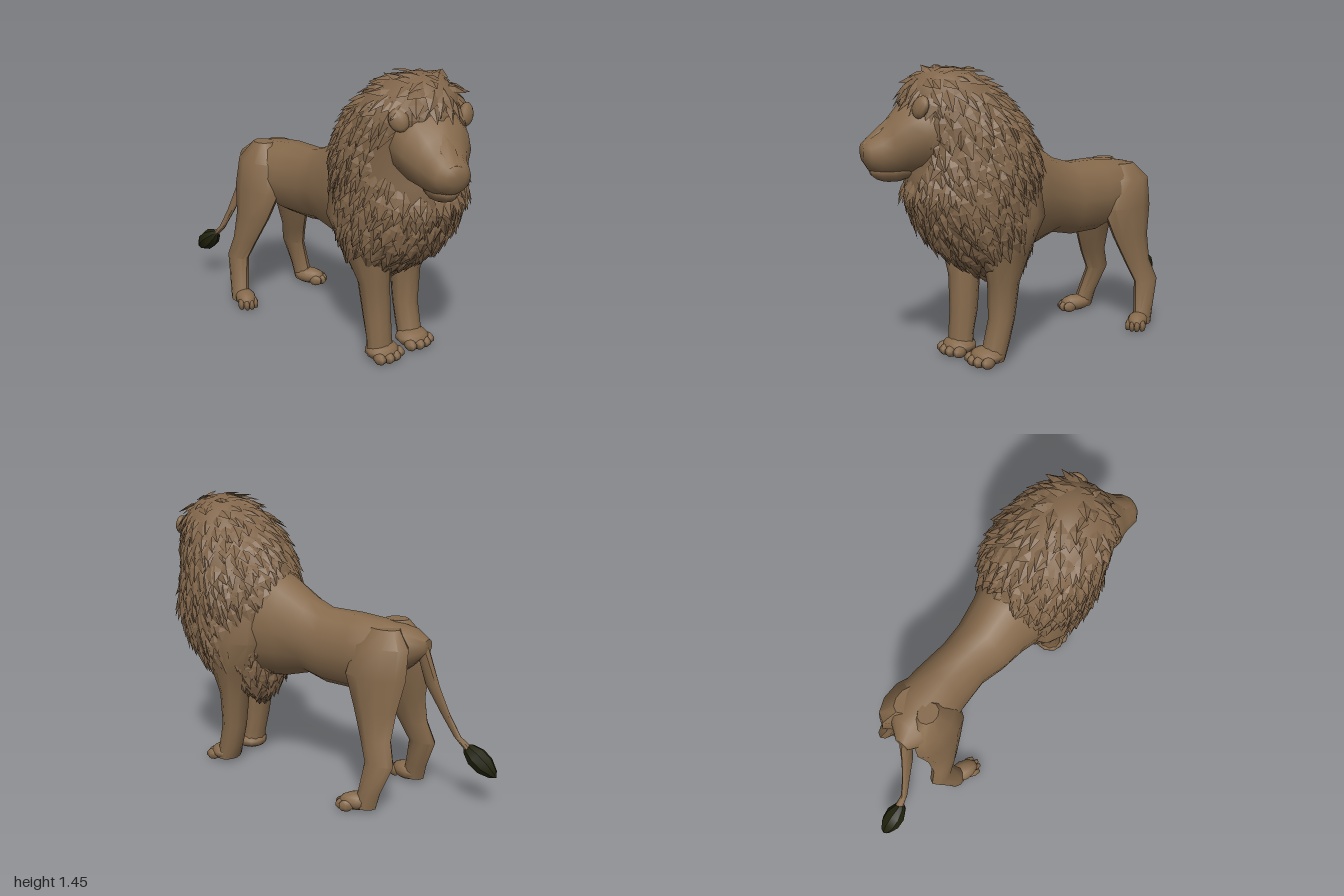
import * as THREE from 'three';
import { mergeGeometries, toCreasedNormals } from 'three/addons/utils/BufferGeometryUtils.js';

const fur = new THREE.MeshStandardMaterial({ color: 0x866a4c });
fur.name = 'brown fur';
const maneFur = new THREE.MeshStandardMaterial({ color: 0x80654a, side: THREE.DoubleSide });
maneFur.name = 'mane fur';
const dark = new THREE.MeshStandardMaterial({ color: 0x20210b });
dark.name = 'dark tuft';

// Closed skin over elliptical rings [cx, cy, cz, rx, r2]; rings lie across the axis, given in rising order
function loft(rings, axis, sides = 12, crease = 0.75) {
  const pos = [], idx = [], n = rings.length;
  for (const [cx, cy, cz, rx, r2] of rings) {
    for (let j = 0; j < sides; j++) {
      const t = (j / sides) * Math.PI * 2, c = Math.cos(t), s = Math.sin(t);
      if (axis === 'y') pos.push(cx + s * rx, cy, cz + c * r2);
      else pos.push(cx + c * rx, cy + s * r2, cz);
    }
  }
  for (const i of [0, n - 1]) pos.push(...rings[i].slice(0, 3));
  for (let j = 0; j < sides; j++) {
    const k = (j + 1) % sides, top = (n - 1) * sides;
    for (let i = 0; i < n - 1; i++) {
      const a = i * sides + j, b = i * sides + k;
      idx.push(a, b, b + sides, a, b + sides, a + sides);
    }
    idx.push(n * sides, k, j, n * sides + 1, top + j, top + k);
  }
  const g = new THREE.BufferGeometry();
  g.setAttribute('position', new THREE.Float32BufferAttribute(pos, 3));
  g.setIndex(idx);
  return toCreasedNormals(g, crease);
}

function add(parent, name, geometry, material) {
  const m = new THREE.Mesh(geometry, material);
  m.name = name;
  parent.add(m);
  return m;
}

// Low paw with four toes, pointing along +z before turning
function paw(parent, name, x, z, turn, w = 0.085, len = 0.1) {
  const parts = [];
  const base = new THREE.SphereGeometry(1, 10, 7).scale(w, 0.045, len).translate(0, 0.045, 0);
  parts.push(base);
  for (let i = 0; i < 4; i++) {
    const u = (i - 1.5) / 1.5;
    parts.push(new THREE.SphereGeometry(1, 6, 5).scale(w * 0.3, 0.03, 0.04)
      .translate(u * w * 0.72, 0.03, len * (0.8 - 0.22 * u * u)));
  }
  const m = add(parent, name, mergeGeometries(parts), fur);
  m.position.set(x, 0, z);
  m.rotation.y = turn;
}

// Mane outline: y, back z, front z, min x, max x
const maneRows = [
  [0.38, 0.3, 0.4, -0.05, 0.05], [0.43, 0.26, 0.49, -0.12, 0.13], [0.5, 0.23, 0.6, -0.2, 0.2],
  [0.6, 0.2, 0.71, -0.26, 0.25], [0.7, 0.18, 0.78, -0.29, 0.28], [0.85, 0.16, 0.84, -0.305, 0.295],
  [0.96, 0.15, 0.82, -0.305, 0.3], [1.08, 0.18, 0.8, -0.305, 0.285], [1.2, 0.25, 0.81, -0.3, 0.255],
  [1.3, 0.34, 0.83, -0.28, 0.2], [1.37, 0.42, 0.8, -0.22, 0.15], [1.42, 0.5, 0.74, -0.14, 0.08],
  [1.44, 0.58, 0.67, -0.07, 0.01],
].map(([y, z0, z1, x0, x1]) => [(x0 + x1) / 2, y, (z0 + z1) / 2, (x1 - x0) / 2, (z1 - z0) / 2]);

function manePoint(y, t) {
  let i = 0;
  while (i < maneRows.length - 2 && maneRows[i + 1][1] < y) i++;
  const a = maneRows[i], b = maneRows[i + 1];
  const f = (y - a[1]) / (b[1] - a[1]);
  const v = a.map((q, k) => q + (b[k] - q) * f);
  return new THREE.Vector3(v[0] + Math.sin(t) * v[3], y, v[2] + Math.cos(t) * v[4]);
}

// Overlapping pointed locks lying over the mane
function locks() {
  let seed = 7;
  const rnd = () => (seed = (seed * 16807) % 2147483647) / 2147483647;
  const pos = [], flow = new THREE.Vector3();
  for (let r = 0; r < 25; r++) {
    const rowY = 0.395 + r * 0.0428;
    const count = Math.round(14 + 26 * Math.sin(Math.PI * Math.min(1, (r + 1) / 26)));
    for (let j = 0; j < count; j++) {
      const y = Math.min(1.435, Math.max(0.385, rowY + (rnd() - 0.5) * 0.04));
      const t = ((j + rnd() * 0.8 + (r % 2) * 0.5) / count) * Math.PI * 2;
      const p = manePoint(y, t);
      // keep the face clear
      if (p.z > 0.6 && ((p.x + 0.11) / 0.19) ** 2 + ((p.y - 1.1) / 0.2) ** 2 < 1) continue;
      const side = manePoint(y, t + 0.02).sub(manePoint(y, t - 0.02)).normalize();
      const up = manePoint(y + 0.004, t).sub(manePoint(y - 0.004, t)).normalize();
      const n = side.clone().cross(up).negate().normalize();
      if (n.dot(new THREE.Vector3(Math.sin(t), 0, Math.cos(t))) < 0) n.negate();
      flow.set((rnd() - 0.5) * 0.9, -1, -0.35);
      flow.addScaledVector(n, -flow.dot(n)).normalize();
      const across = flow.clone().cross(n).normalize();
      const len = 0.075 + rnd() * 0.05, w = 0.024 + rnd() * 0.018;
      const at = (f, s, h) => p.clone().addScaledVector(flow, f * len).addScaledVector(across, s * w).addScaledVector(n, h);
      const root = at(-0.35, 0, -0.008), l = at(0.2, -1, 0.002), m = at(0.2, 0, 0.014);
      const q = at(0.2, 1, 0.002), tip = at(0.85, 0, 0.012 + rnd() * 0.012);
      for (const tri of [[root, l, m], [root, m, q], [l, tip, m], [m, tip, q]]) {
        const face = tri[1].clone().sub(tri[0]).cross(tri[2].clone().sub(tri[0]));
        const order = face.dot(n) < 0 ? [tri[0], tri[2], tri[1]] : tri;
        for (const v of order) pos.push(v.x, v.y, v.z);
      }
    }
  }
  const g = new THREE.BufferGeometry();
  g.setAttribute('position', new THREE.Float32BufferAttribute(pos, 3));
  g.computeVertexNormals();
  return g;
}

export function createModel() {
  const model = new THREE.Group();
  model.name = 'lion';

  add(model, 'torso', loft([
    [-0.03, 0.8, -0.655, 0.04, 0.035], [0.0, 0.79, -0.58, 0.12, 0.1], [0.02, 0.75, -0.45, 0.17, 0.165],
    [0.025, 0.735, -0.3, 0.155, 0.195], [0.02, 0.735, -0.12, 0.14, 0.195], [0, 0.765, 0, 0.16, 0.2],
    [0, 0.79, 0.14, 0.18, 0.265], [0, 0.81, 0.3, 0.23, 0.3], [0, 0.8, 0.5, 0.24, 0.3],
  ], 'z', 14), fur);

  // Mane
  const mane = new THREE.Group();
  mane.name = 'mane';
  model.add(mane);
  add(mane, 'maneCore', loft(maneRows, 'y', 20, 1.2), maneFur);
  add(mane, 'maneLocks', locks(), maneFur);

  // Head, turned to the right
  const head = new THREE.Group();
  head.name = 'head';
  head.position.set(-0.03, 0, 0.62);
  head.rotation.y = -0.38;
  model.add(head);
  add(head, 'skull', loft([
    [0, 1.15, 0, 0.19, 0.19], [0, 1.14, 0.15, 0.19, 0.18], [0, 1.12, 0.22, 0.17, 0.165],
    [0, 1.08, 0.28, 0.125, 0.135], [0, 1.055, 0.33, 0.1, 0.105], [0, 1.05, 0.38, 0.085, 0.075],
    [0, 1.06, 0.408, 0.05, 0.04],
  ], 'z', 14, 1), fur);
  add(head, 'jaw', new THREE.SphereGeometry(1, 10, 8).scale(0.075, 0.055, 0.11).translate(0, 0.97, 0.27), fur);
  add(head, 'noseBridge', loft([
    [0, 1.2, 0.19, 0.07, 0.08], [0, 1.14, 0.3, 0.05, 0.06], [0, 1.08, 0.4, 0.04, 0.03],
  ], 'z', 8), fur);
  add(head, 'mouth', new THREE.BoxGeometry(0.07, 0.006, 0.008).translate(0, 1.0, 0.372), dark);
  for (const s of [-1, 1]) {
    add(head, 'eye', new THREE.SphereGeometry(0.009, 8, 6).translate(s * 0.083, 1.18, 0.262), dark);
    const ear = add(head, 'ear', new THREE.SphereGeometry(1, 10, 8).scale(0.045, 0.055, 0.025), fur);
    ear.position.set(s * 0.165, 1.27, 0.17);
    ear.rotation.set(-0.2, s * 0.5, -s * 0.4);
  }

  // Front legs
  add(model, 'frontLegLeft', loft([
    [0.12, 0.02, 0.49, 0.07, 0.06], [0.125, 0.1, 0.465, 0.065, 0.065], [0.13, 0.22, 0.435, 0.068, 0.065],
    [0.135, 0.4, 0.425, 0.078, 0.08], [0.15, 0.55, 0.42, 0.1, 0.13], [0.17, 0.72, 0.39, 0.12, 0.18],
    [0.15, 0.9, 0.37, 0.1, 0.15],
  ], 'y', 10), fur);
  add(model, 'frontLegRight', loft([
    [-0.11, 0.02, 0.5, 0.075, 0.06], [-0.115, 0.1, 0.495, 0.07, 0.06], [-0.115, 0.22, 0.475, 0.072, 0.07],
    [-0.125, 0.4, 0.46, 0.08, 0.08], [-0.15, 0.55, 0.43, 0.1, 0.13], [-0.17, 0.72, 0.39, 0.12, 0.18],
    [-0.15, 0.9, 0.37, 0.1, 0.15],
  ], 'y', 10), fur);
  paw(model, 'frontPawLeft', 0.11, 0.51, 0.0, 0.09, 0.085);
  paw(model, 'frontPawRight', -0.11, 0.51, 0.0, 0.09, 0.085);

  // Hind legs
  add(model, 'hindLegLeft', loft([
    [0.24, 0.02, -0.48, 0.045, 0.06], [0.235, 0.1, -0.5, 0.045, 0.06], [0.215, 0.25, -0.54, 0.045, 0.08],
    [0.185, 0.36, -0.5, 0.05, 0.085], [0.155, 0.5, -0.475, 0.065, 0.12], [0.135, 0.66, -0.46, 0.085, 0.17],
    [0.115, 0.81, -0.48, 0.085, 0.15], [0.08, 0.89, -0.48, 0.05, 0.08],
  ], 'y', 10), fur);
  add(model, 'hindLegRight', loft([
    [-0.22, 0.02, -0.49, 0.045, 0.06], [-0.21, 0.1, -0.51, 0.045, 0.06], [-0.175, 0.25, -0.56, 0.045, 0.075],
    [-0.16, 0.36, -0.51, 0.05, 0.085], [-0.13, 0.5, -0.475, 0.065, 0.12], [-0.1, 0.66, -0.46, 0.085, 0.17],
    [-0.075, 0.81, -0.47, 0.085, 0.15], [-0.05, 0.91, -0.47, 0.05, 0.06],
  ], 'y', 10), fur);
  paw(model, 'hindPawLeft', 0.25, -0.44, 0.5, 0.055, 0.09);
  paw(model, 'hindPawRight', -0.225, -0.44, -0.4, 0.055, 0.09);

  // Tail and its dark tuft
  add(model, 'tail', loft([
    [-0.125, 0.27, -0.87, 0.025, 0.03], [-0.115, 0.34, -0.79, 0.015, 0.02], [-0.09, 0.45, -0.735, 0.016, 0.025],
    [-0.06, 0.6, -0.67, 0.02, 0.04], [-0.035, 0.75, -0.635, 0.03, 0.035], [-0.03, 0.83, -0.6, 0.04, 0.045],
  ], 'y', 8), fur);
  const tuft = add(model, 'tailTuft', toCreasedNormals(new THREE.LatheGeometry([
    [0, -0.11], [0.026, -0.088], [0.052, -0.03], [0.054, 0.03], [0.032, 0.085], [0, 0.115],
  ].map(([r, y]) => new THREE.Vector2(r, y)), 8), 0.5), dark);
  tuft.position.set(-0.13, 0.235, -0.91);
  tuft.rotation.x = 0.93;

  return model;
}
